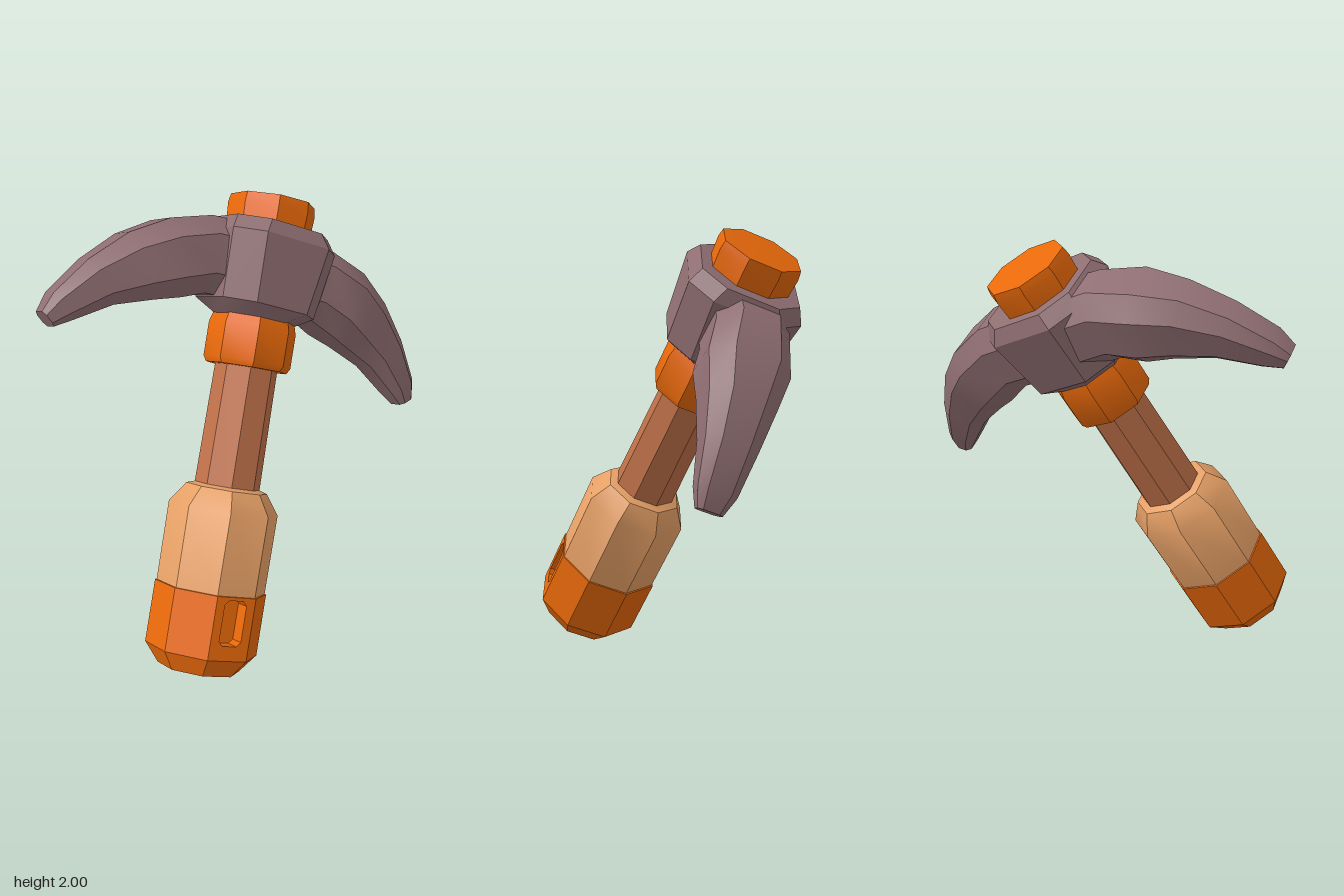
import * as THREE from 'three';
import { toCreasedNormals } from 'three/addons/utils/BufferGeometryUtils.js';

const mat = (name, color) => {
  const m = new THREE.MeshStandardMaterial({ color });
  m.name = name;
  return m;
};

// Eight-sided turned part; profile is [radius, height] from bottom to top
function turned(profile, start = Math.PI / 8, sides = 8) {
  const pts = profile.map(([r, y]) => new THREE.Vector2(r, y));
  const geo = new THREE.LatheGeometry(pts, sides, start, sides * Math.PI / 4);
  return toCreasedNormals(geo, 0.6);
}

// Closed solid through rings of equal point count, with fan caps
function loft(rings) {
  const n = rings[0].length, pos = [], idx = [];
  rings.forEach(r => r.forEach(p => pos.push(...p)));
  for (let i = 0; i < rings.length - 1; i++) {
    for (let j = 0; j < n; j++) {
      const a = i * n + j, b = i * n + (j + 1) % n;
      idx.push(a, b, b + n, a, b + n, a + n);
    }
  }
  const last = (rings.length - 1) * n;
  for (let j = 1; j < n - 1; j++) {
    idx.push(0, j + 1, j, last, last + j, last + j + 1);
  }
  const g = new THREE.BufferGeometry();
  g.setAttribute('position', new THREE.Float32BufferAttribute(pos, 3));
  g.setIndex(idx);
  return toCreasedNormals(g, 0.5);
}

// Rectangle with cut corners, counter-clockwise
const chamfered = (w, h, c) => [
  [w, -h + c], [w, h - c], [w - c, h], [-w + c, h],
  [-w, h - c], [-w, -h + c], [-w + c, -h], [w - c, -h],
];

// Curved prong along +z (dir 1) or -z (dir -1): [z, y, half width, half height, tilt]
function prongGeometry(dir) {
  const sections = [
    [0.15, 0.01, 0.18, 0.17, 0.0],
    [0.30, 0.005, 0.17, 0.17, 0.1],
    [0.46, -0.05, 0.185, 0.17, 0.35],
    [0.60, -0.12, 0.15, 0.152, 0.6],
    [0.76, -0.225, 0.115, 0.11, 0.75],
    [0.90, -0.36, 0.085, 0.07, 0.85],
    [0.95, -0.425, 0.055, 0.04, 0.9],
  ];
  return loft(sections.map(([z, y, w, h, t]) =>
    chamfered(w, h, Math.min(w, h) * 0.5).map(([a, b]) =>
      [dir * a, y + b * Math.cos(t), dir * (z + b * Math.sin(t))])));
}

export function createModel() {
  const orange = mat('orange', 0xe9690a);
  const stone = mat('stone', 0x8f6e72);
  const wood = mat('wood', 0xbe7049);
  const wrap = mat('wrap', 0xe6a066);

  const model = new THREE.Group();
  model.name = 'pickaxe';
  const tool = new THREE.Group();
  tool.name = 'tiltedTool';
  model.add(tool);
  const add = (name, geo, material, parent = tool) => {
    const m = new THREE.Mesh(geo, material);
    m.name = name;
    parent.add(m);
    return m;
  };

  // Handle
  add('shaft', turned([[0, 0.7], [0.15, 0.7], [0.142, 1.4], [0, 1.4]]), wood);
  add('grip', turned([[0, 0.325], [0.248, 0.325], [0.25, 0.7], [0.185, 0.79], [0.14, 0.805]]), wrap);
  add('collar', turned([[0.12, 1.34], [0.185, 1.34], [0.2, 1.365], [0.2, 1.52], [0.18, 1.59], [0, 1.59]]), orange);

  // Pommel: bevelled foot, seven plain sides and one slotted side
  const R = 0.255, low = 0.06, high = 0.34;
  const apothem = R * Math.cos(Math.PI / 8), half = R * Math.sin(Math.PI / 8);
  add('pommelFoot', turned([[0, -0.025], [0.185, -0.025], [R, low]]), orange);
  add('pommelSides', turned([[R, low], [R, high]], Math.PI * 5 / 8, 7), orange);
  add('pommelRim', turned([[R, high], [0.24, high + 0.003]]), orange);
  const panel = new THREE.Shape([[-half, low], [half, low], [half, high], [-half, high]]
    .map(p => new THREE.Vector2(...p)));
  const slotY = 0.225;
  const slot = new THREE.Path(chamfered(0.055, 0.1, 0.02)
    .map(([x, y]) => new THREE.Vector2(x, y + slotY)));
  panel.holes.push(slot);
  const depth = 0.07;
  const side = add('slottedSide', new THREE.ExtrudeGeometry(panel, { depth, bevelEnabled: false }), orange);
  side.rotation.y = Math.PI / 2;
  side.position.x = apothem - depth;
  const back = add('slotBack', new THREE.BoxGeometry(0.02, 0.24, 0.14), orange);
  back.position.set(apothem - depth - 0.01, slotY, 0);

  // Head: cut-cornered block with two opposite prongs, pitched slightly forward-up
  const head = new THREE.Group();
  head.name = 'head';
  head.position.y = 1.78;
  head.rotation.x = -0.035;
  tool.add(head);
  const blockRings = [[-0.225, 0.17, 0.17], [-0.17, 0.235, 0.24], [0.13, 0.265, 0.27], [0.195, 0.23, 0.24]];
  add('headBlock', loft(blockRings.map(([y, w, d]) =>
    chamfered(w, d, 0.11).map(([x, z]) => [x, y, -z]))), stone, head);
  add('frontProng', prongGeometry(1), stone, head).position.x = -0.045;
  add('backProng', prongGeometry(-1), stone, head).position.x = -0.045;

  // Cap on top of the head
  add('topCap', turned([[0, 1.9], [0.19, 1.9], [0.2, 2.06], [0.193, 2.1], [0, 2.105]]), orange);

  // Lean the tool: its length runs up and back, its prongs forward
  const up = new THREE.Vector3(-0.39, 1.8, -1.03).normalize();
  const fwd = new THREE.Vector3(-0.44, 0.4, 0.81);
  fwd.addScaledVector(up, -fwd.dot(up)).normalize();
  const right = new THREE.Vector3().crossVectors(up, fwd);
  tool.quaternion.setFromRotationMatrix(new THREE.Matrix4().makeBasis(right, up, fwd));
  tool.position.set(0.275, 0.11, 0.655);
  return model;
}
